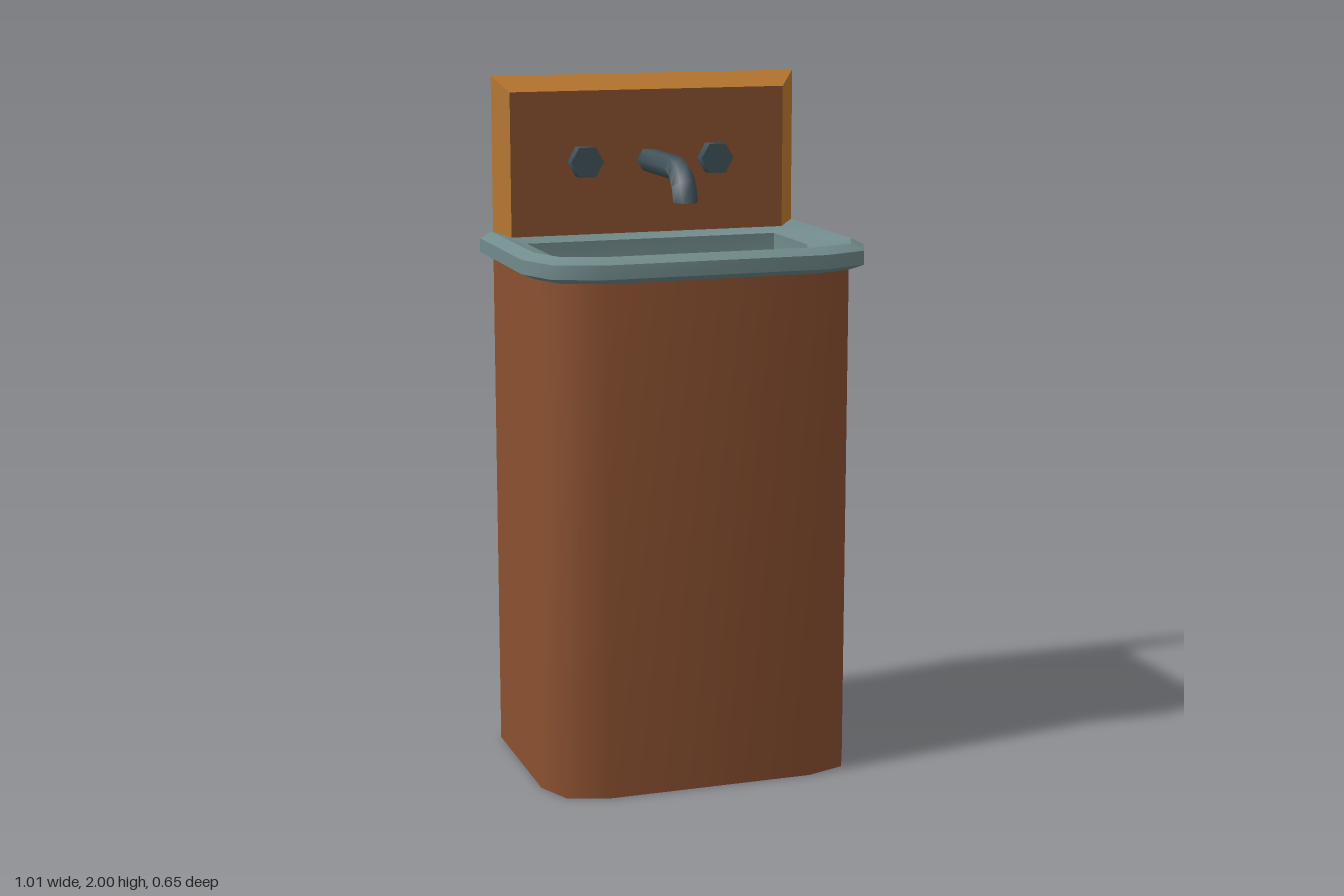
import * as THREE from 'three';
import { toCreasedNormals } from 'three/addons/utils/BufferGeometryUtils.js';

const mat = (name, color) => {
  const m = new THREE.MeshStandardMaterial({ color, side: THREE.DoubleSide });
  m.name = name;
  return m;
};

// Skin between successive rings of [x, y, z] points; capEnd fans the last ring to a point.
function loft(rings, { closed = false, capEnd = null, crease = 0.9 } = {}) {
  const n = rings[0].length, spans = closed ? n : n - 1;
  const pos = rings.flat(2), idx = [];
  for (let r = 0; r < rings.length - 1; r++) {
    for (let i = 0; i < spans; i++) {
      const a = r * n + i, b = r * n + (i + 1) % n;
      idx.push(a, a + n, b, b, a + n, b + n);
    }
  }
  if (capEnd) {
    const base = (rings.length - 1) * n, c = pos.length / 3;
    pos.push(...capEnd);
    for (let i = 0; i < n; i++) idx.push(base + i, c, base + (i + 1) % n);
  }
  const g = new THREE.BufferGeometry();
  g.setAttribute('position', new THREE.Float32BufferAttribute(pos, 3));
  g.setIndex(idx);
  return toCreasedNormals(g, crease);
}

// Mirrored outline at height y, from the right half listed back to front.
function outline(half, y) {
  const right = half.map(([x, z]) => [x, y, z]);
  return [...right, ...right.slice().reverse().map(([x, yy, z]) => [-x, yy, z])];
}

export function createModel() {
  const group = new THREE.Group();
  const wood = mat('brown wood', 0x8a5030);
  const trim = mat('amber trim', 0xc07c30);
  const stone = mat('grey green basin', 0x718a8b);
  const metal = mat('dark metal', 0x41525a);
  const add = (name, geometry, material) => {
    const m = new THREE.Mesh(geometry, material);
    m.name = name;
    group.add(m);
    return m;
  };

  const BACK = -0.325;
  const outer = [[0.505, BACK], [0.505, 0.15], [0.455, 0.275], [0.325, 0.325]];
  const body = [[0.465, BACK], [0.465, 0.14], [0.42, 0.245], [0.305, 0.285]];
  const ridge = [[0.47, BACK], [0.47, 0.14], [0.425, 0.25], [0.31, 0.29]];
  const opening = [[0.383, -0.25], [0.383, 0.025], [0.33, 0.15], [0.2, 0.205]];
  const floor = opening.map(([x, z]) => [x * 0.87, -0.02 + (z + 0.02) * 0.8]);

  // Pedestal, open at the back
  add('pedestal', loft([outline(body, 0), outline(body, 1.48)]), wood);

  // Rim edge, open at the back
  add('rimEdge', loft([
    outline(body, 1.475), outline(outer, 1.492), outline(outer, 1.532), outline(ridge, 1.55),
  ]), stone);

  // Rim top sloping into the bowl
  add('basin', loft([
    outline(ridge, 1.55), outline(opening, 1.52), outline(opening, 1.335), outline(floor, 1.285),
  ], { closed: true, capEnd: [0, 1.27, -0.02] }), stone);

  // Splashback panel and its bevelled frame
  const panel = new THREE.PlaneGeometry(0.84, 0.42);
  panel.translate(0, 1.745, -0.285);
  add('splashback', panel, wood);
  const frame = (x, top, z, bottom) =>
    [[x, bottom, z], [x, top, z], [-x, top, z], [-x, bottom, z]];
  add('splashbackFrame', loft([
    frame(0.42, 1.955, -0.285, 1.535), frame(0.465, 2, BACK, 1.55),
  ]), trim);

  // Six-sided spout: top and bottom points [z, y] of each section
  const sections = [
    [[-0.305, 1.78], [-0.305, 1.718]],
    [[-0.04, 1.78], [-0.012, 1.718]],
    [[0.02, 1.763], [0.008, 1.705]],
    [[0.062, 1.72], [0.018, 1.69]],
    [[0.085, 1.66], [0.025, 1.66]],
  ];
  const spout = sections.map(([[tz, ty], [bz, by]]) =>
    Array.from({ length: 6 }, (_, i) => {
      const a = -i * Math.PI / 3;
      const s = Math.sin(a) / Math.sin(Math.PI / 3) / 2;
      return [0.037 * Math.cos(a), (ty + by) / 2 + (ty - by) * s, (tz + bz) / 2 + (tz - bz) * s];
    }));
  add('spout', loft(spout, { closed: true, capEnd: [0, 1.66, 0.055], crease: 1.2 }), metal);

  // Tap knobs
  for (const side of [-1, 1]) {
    const knob = new THREE.CylinderGeometry(0.05, 0.05, 0.042, 6);
    knob.rotateY(Math.PI / 6).rotateX(Math.PI / 2);
    add(side > 0 ? 'leftKnob' : 'rightKnob', knob, metal).position.set(side * 0.2, 1.75, -0.264);
  }

  return group;
}
